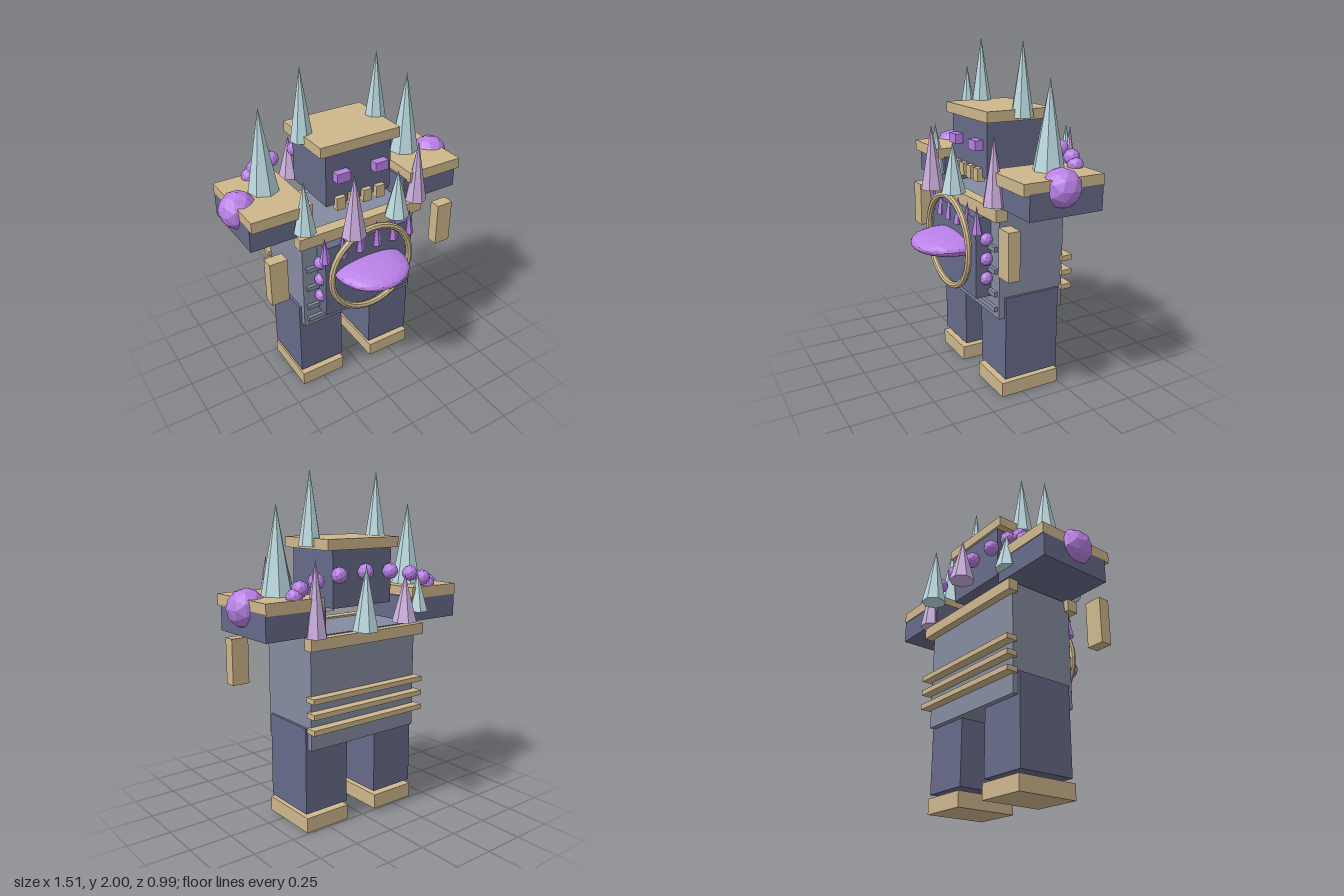
import * as THREE from 'three';

const paint = (color) => new THREE.MeshStandardMaterial({ color, flatShading: true });

export function createModel() {
  const model = new THREE.Group();
  model.name = 'crystalGolem';

  const stone = paint(0x666a88);
  const slate = paint(0x858ca0);
  const sand = paint(0xcdb68c);
  const violet = paint(0xb980e6);
  const ice = paint(0xbcdae0);
  const lilac = paint(0xccaedd);

  const add = (name, geometry, material, x, y, z) => {
    const mesh = new THREE.Mesh(geometry, material);
    mesh.name = name;
    mesh.position.set(x, y, z);
    model.add(mesh);
    return mesh;
  };
  // Box given by its limits on each axis
  const block = (name, material, [x0, x1], [y0, y1], [z0, z1]) =>
    add(name, new THREE.BoxGeometry(x1 - x0, y1 - y0, z1 - z0), material,
      (x0 + x1) / 2, (y0 + y1) / 2, (z0 + z1) / 2);
  // Pair of boxes mirrored across x
  const pair = (name, material, [x0, x1], y, z) => {
    block(name + 'Left', material, [x0, x1], y, z);
    block(name + 'Right', material, [-x1, -x0], y, z);
  };
  const spike = (name, material, x, z, y0, y1, r, sides = 7) =>
    add(name, new THREE.ConeGeometry(r, y1 - y0, sides), material, x, (y0 + y1) / 2, z);
  const orb = (name, r, x, y, z) =>
    add(name, new THREE.IcosahedronGeometry(r, 1), violet, x, y, z);

  // Legs and feet
  pair('leg', stone, [0.105, 0.395], [0.11, 0.615], [-0.23, 0.115]);
  pair('foot', sand, [0.105, 0.395], [0, 0.088], [-0.24, 0.135]);

  // Torso with collars and chest panel
  block('torso', slate, [-0.38, 0.38], [0.49, 1.13], [-0.262, 0.15]);
  block('frontCollar', sand, [-0.41, 0.41], [1.07, 1.14], [0.12, 0.19]);
  block('backCollar', sand, [-0.41, 0.41], [1.06, 1.125], [-0.31, -0.25]);
  block('chestPanel', stone, [-0.285, 0.285], [0.6, 1.07], [0.14, 0.245]);
  for (const y of [0.545, 0.635, 0.77, 0.9])
    pair('ventBar', slate, [0.145, 0.36], [y - 0.014, y + 0.014], [0.14, 0.17]);
  for (const y of [0.612, 0.7, 0.787])
    block('backBar', sand, [-0.4, 0.4], [y - 0.015, y + 0.015], [-0.318, -0.25]);

  // Chest ring, lens and trim
  add('chestRing', new THREE.TorusGeometry(0.267, 0.02, 8, 32), sand, 0, 0.868, 0.28);
  const lens = add('chestLens', new THREE.IcosahedronGeometry(0.225, 3), violet, 0, 0.865, 0.272);
  lens.scale.y = 0.29;
  for (let i = 0; i < 6; i++)
    spike('chestSpike', violet, -0.285 + i * 0.114, 0.238, 0.98, 1.14, 0.032, 6);
  for (const side of [-1, 1])
    for (const y of [0.71, 0.825, 0.94]) orb('panelBead', 0.04, side * 0.278, y, 0.18);

  // Shoulders, hanging arms and shoulder orbs
  pair('shoulder', stone, [0.305, 0.68], [1.14, 1.285], [-0.3, 0.15]);
  pair('shoulderCap', sand, [0.32, 0.68], [1.275, 1.34], [-0.305, 0.185]);
  pair('arm', sand, [0.51, 0.615], [0.81, 1.08], [0.16, 0.23]);
  for (const side of [-1, 1]) {
    orb('shoulderOrb', 0.108, side * 0.645, 1.285, -0.06);
    spike('shoulderCrystal', ice, side * 0.472, -0.092, 1.33, 1.82, 0.09);
    spike('headCrystal', ice, side * 0.237, -0.068, 1.59, 2, 0.066);
  }

  // Head with brow, eyes and teeth
  block('head', stone, [-0.21, 0.21], [1.26, 1.58], [-0.235, 0.135]);
  block('headCap', sand, [-0.252, 0.252], [1.575, 1.635], [-0.25, 0.157]);
  pair('eye', violet, [0.08, 0.165], [1.412, 1.468], [0.12, 0.183]);
  for (const x of [-0.13, -0.043, 0.043, 0.13])
    block('tooth', sand, [x - 0.028, x + 0.028], [1.235, 1.31], [0.12, 0.165]);

  // Arc of beads behind the head
  for (let i = 0; i <= 8; i++) {
    const a = (i * Math.PI) / 8;
    orb('arcBead', 0.046, 0.48 * Math.cos(a), 1.35 + 0.1 * Math.sin(a), -0.26);
  }

  // Crown of crystals around the shoulders: material, x, z, base, tip, radius
  for (const crystal of [
    [lilac, -0.14, 0.308, 1.15, 1.525, 0.071],
    [ice, 0.14, 0.308, 1.19, 1.47, 0.071],
    [ice, -0.37, 0.18, 1.18, 1.49, 0.064],
    [lilac, 0.37, 0.18, 1.155, 1.53, 0.064],
    [lilac, -0.14, -0.43, 1.18, 1.44, 0.071],
    [ice, 0.14, -0.43, 1.16, 1.51, 0.071],
    [ice, -0.37, -0.295, 1.2, 1.42, 0.066],
    [lilac, 0.37, -0.295, 1.13, 1.545, 0.066],
  ]) spike('crownCrystal', ...crystal);

  return model;
}
